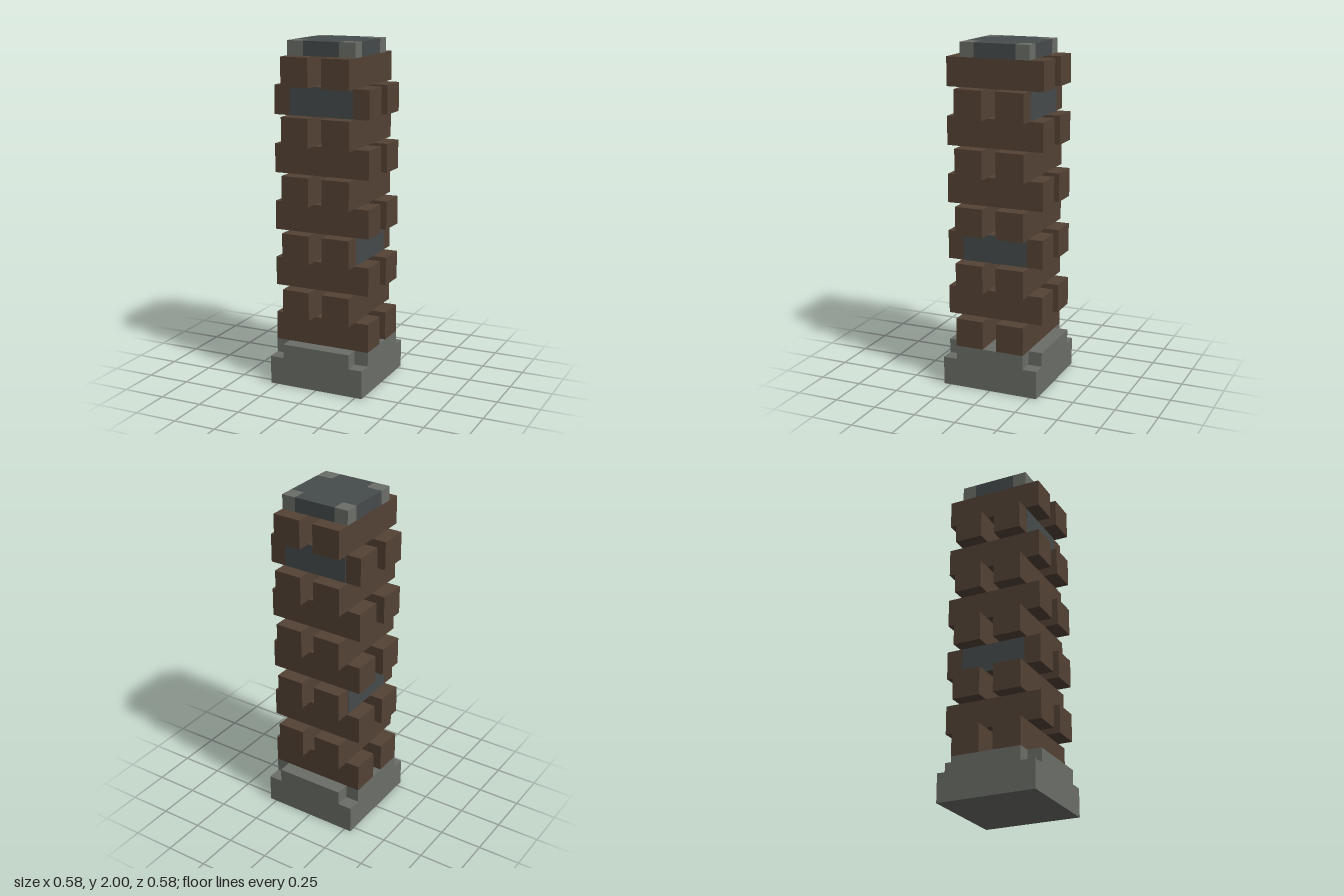
import * as THREE from 'three';

const U = 1 / 12; // building unit: the log thickness is two units

export function createModel() {
  const model = new THREE.Group();
  model.name = 'logTower';

  const makeMaterial = (name, color) => {
    const m = new THREE.MeshStandardMaterial({ color });
    m.name = name;
    return m;
  };
  const wood = makeMaterial('darkWood', 0x544235);
  const stone = makeMaterial('greyStone', 0x6b6e68);
  const slate = makeMaterial('slate', 0x464b4c);

  const addBox = (parent, name, material, size, position) => {
    const mesh = new THREE.Mesh(new THREE.BoxGeometry(...size), material);
    mesh.name = name;
    mesh.position.set(...position);
    parent.add(mesh);
    return mesh;
  };

  // Stone base: square plinth with a raised plate notched at the corners
  const base = new THREE.Group();
  base.name = 'base';
  model.add(base);
  addBox(base, 'plinth', stone, [7 * U, 2 * U, 7 * U], [0, U, 0]);
  addBox(base, 'raisedPlate', stone, [7 * U, U, 5 * U], [0, 2.5 * U, 0]);
  for (const s of [-1, 1]) {
    addBox(base, 'raisedEdge', stone, [5 * U, U, U], [0, 2.5 * U, s * 3 * U]);
  }

  // Ten crossed layers, each a pair of logs; two layers carry slate inlays
  for (let i = 0; i < 10; i++) {
    const layer = new THREE.Group();
    layer.name = 'logLayer' + (i + 1);
    layer.position.y = (4 + 2 * i) * U;
    layer.rotation.y = i % 2 ? Math.PI / 2 : 0;
    model.add(layer);
    for (const s of [-1, 1]) {
      addBox(layer, 'log', wood, [7 * U, 2 * U, 2 * U], [0, 0, s * 1.5 * U]);
      if (i === 3 || i === 8) {
        addBox(layer, 'slateInlay', slate, [0.39, 2 * U - 0.001, 0.004], [0, 0, s * 2.5 * U]);
      }
    }
  }

  // Flat cap: slate cross with stone corner pieces
  const cap = new THREE.Group();
  cap.name = 'cap';
  cap.position.y = 23 * U;
  model.add(cap);
  const addSlab = (name, material, points) => {
    const shape = new THREE.Shape(points.map(([x, z]) => new THREE.Vector2(x, -z)));
    const geometry = new THREE.ExtrudeGeometry(shape, { depth: U, bevelEnabled: false });
    geometry.rotateX(-Math.PI / 2);
    const mesh = new THREE.Mesh(geometry, material);
    mesh.name = name;
    cap.add(mesh);
  };
  const h = 2.5 * U;
  // Inner outlines of the corner pieces, from the side edge to the front or back edge
  const frontCut = [[h, 0.125], [0.122, 0.125], [0.11, 0.145], [0.11, h]];
  const backCut = [[h, -0.125], [0.125, -0.125], [0.125, -h]];
  const mirror = (points) => points.map(([x, z]) => [-x, z]);
  for (const [cut, z] of [[frontCut, h], [backCut, -h]]) {
    addSlab('capCorner', stone, [...cut, [h, z]]);
    addSlab('capCorner', stone, [...mirror(cut), [-h, z]]);
  }
  addSlab('capPlate', slate, [
    ...frontCut,
    ...mirror(frontCut).reverse(),
    ...mirror(backCut),
    ...[...backCut].reverse(),
  ]);

  return model;
}
